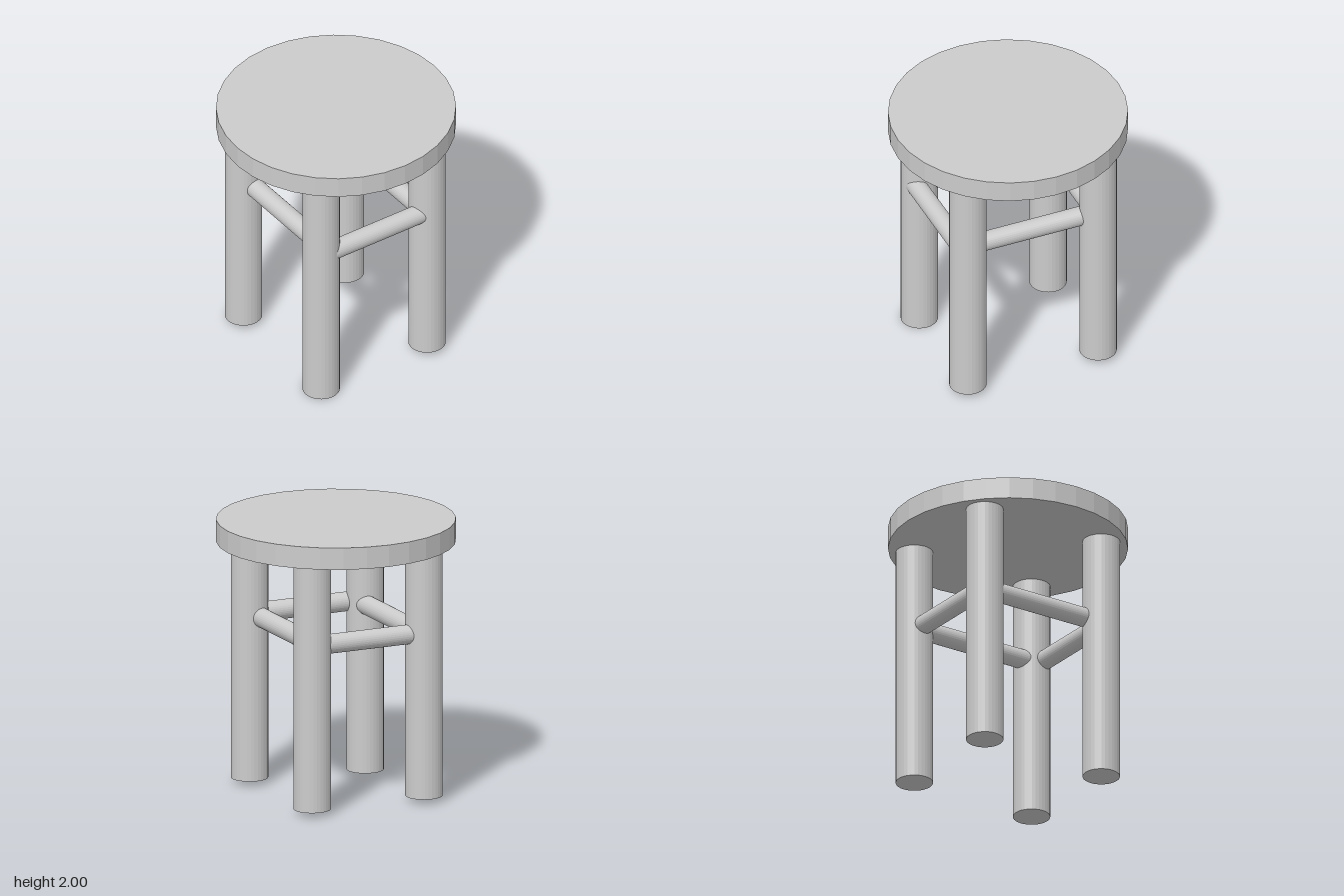
import * as THREE from 'three';

const SIDES = 32;

export function createModel() {
  const group = new THREE.Group();
  const material = new THREE.MeshStandardMaterial({ color: 0xcccccc, flatShading: true });

  const addCylinder = (name, radius, length, x, y, z) => {
    const mesh = new THREE.Mesh(new THREE.CylinderGeometry(radius, radius, length, SIDES), material);
    mesh.name = name;
    mesh.position.set(x, y, z);
    group.add(mesh);
    return mesh;
  };

  // Round seat
  addCylinder('seat', 0.853, 0.16, 0, 1.92, 0);

  // Four slightly uneven legs: name, x, z, foot height
  const legTop = 1.86;
  const legs = [
    ['frontLeftLeg', 0.483, 0.467, 0],
    ['frontRightLeg', -0.507, 0.447, 0.037],
    ['backLeftLeg', 0.503, -0.437, 0.037],
    ['backRightLeg', -0.507, -0.437, 0.037],
  ];
  for (const [name, x, z, foot] of legs) {
    addCylinder(name, 0.133, legTop - foot, x, (legTop + foot) / 2, z);
  }

  // Stretchers running between the legs
  const rungRadius = 0.07, rungY = 1.23;
  for (const [name, z] of [['frontStretcher', 0.43], ['backStretcher', -0.4]]) {
    addCylinder(name, rungRadius, 1.0, -0.01, rungY, z).rotation.z = Math.PI / 2;
  }
  for (const [name, x, length] of [['leftStretcher', 0.537, 1.035], ['rightStretcher', -0.507, 0.96]]) {
    addCylinder(name, rungRadius, length, x, rungY, 0).rotation.x = Math.PI / 2;
  }

  return group;
}
